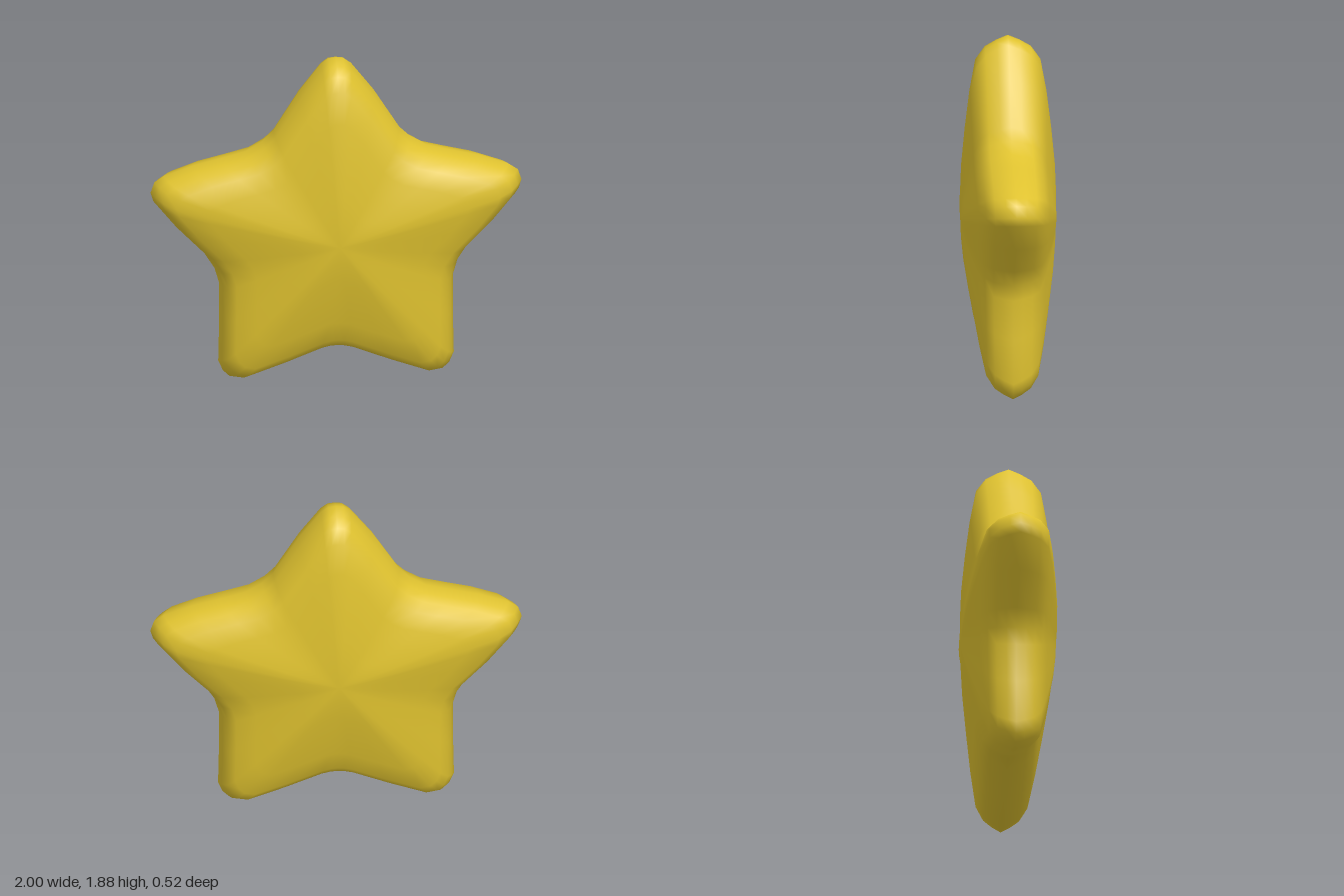
import * as THREE from 'three';
import { mergeVertices } from 'three/addons/utils/BufferGeometryUtils.js';

const CENTRE_Y = 0.87;

// Right half of the star outline, clockwise from the top tip to the bottom notch.
const HALF = [
  [0, 1.885], [0.04, 1.88], [0.08, 1.85], [0.2, 1.69], [0.34, 1.46], [0.4, 1.4],
  [0.49, 1.345], [0.62, 1.31], [0.78, 1.27], [0.93, 1.215], [0.98, 1.18], [1, 1.12],
  [0.985, 1.07], [0.86, 0.91], [0.71, 0.75], [0.655, 0.66], [0.63, 0.57], [0.63, 0.35],
  [0.635, 0.11], [0.61, 0.05], [0.575, 0.015], [0.51, 0.003], [0.3, 0.08], [0.09, 0.165],
  [0.04, 0.177], [0, 0.18],
];

// Puffed profile: [outline scale, half thickness], from the rim to the middle.
const PROFILE = [
  [1, 0], [0.975, 0.055], [0.94, 0.11], [0.87, 0.157], [0.7, 0.19],
  [0.5, 0.219], [0.3, 0.244], [0.14, 0.256], [0, 0.259],
];

function starOutline() {
  const mirrored = HALF.slice(1, -1).reverse().map(([x, y]) => [-x, y]);
  return [...HALF, ...mirrored];
}

function puffyStar() {
  const outline = starOutline();
  const n = outline.length;
  // Rings run from the middle of the back, around the rim, to the middle of the front.
  const back = PROFILE.slice(1).reverse().map(([s, z]) => [s, -z]);
  const rings = [...back, ...PROFILE];
  const positions = [];
  for (const [s, z] of rings) {
    for (const [x, y] of outline) {
      const py = CENTRE_Y + (y - CENTRE_Y) * s;
      const taper = 1 + 0.14 * (py - 0.95); // upper arm slightly thicker than the legs
      positions.push(x * s, py, z * taper);
    }
  }
  const index = [];
  for (let j = 0; j < rings.length - 1; j++) {
    for (let i = 0; i < n; i++) {
      const k = (i + 1) % n;
      const a = j * n + i, b = j * n + k, c = a + n, d = b + n;
      if (rings[j][0] > 0) index.push(a, c, b);
      if (rings[j + 1][0] > 0) index.push(b, c, d);
    }
  }
  const geometry = new THREE.BufferGeometry();
  geometry.setAttribute('position', new THREE.Float32BufferAttribute(positions, 3));
  geometry.setIndex(index);
  const merged = mergeVertices(geometry, 1e-5);
  merged.computeVertexNormals();
  return merged;
}

export function createModel() {
  const gold = new THREE.MeshStandardMaterial({ color: 0xdfc22f });
  gold.name = 'gold';
  const star = new THREE.Mesh(puffyStar(), gold);
  star.name = 'star';
  const group = new THREE.Group();
  group.name = 'puffyStar';
  group.add(star);
  return group;
}
